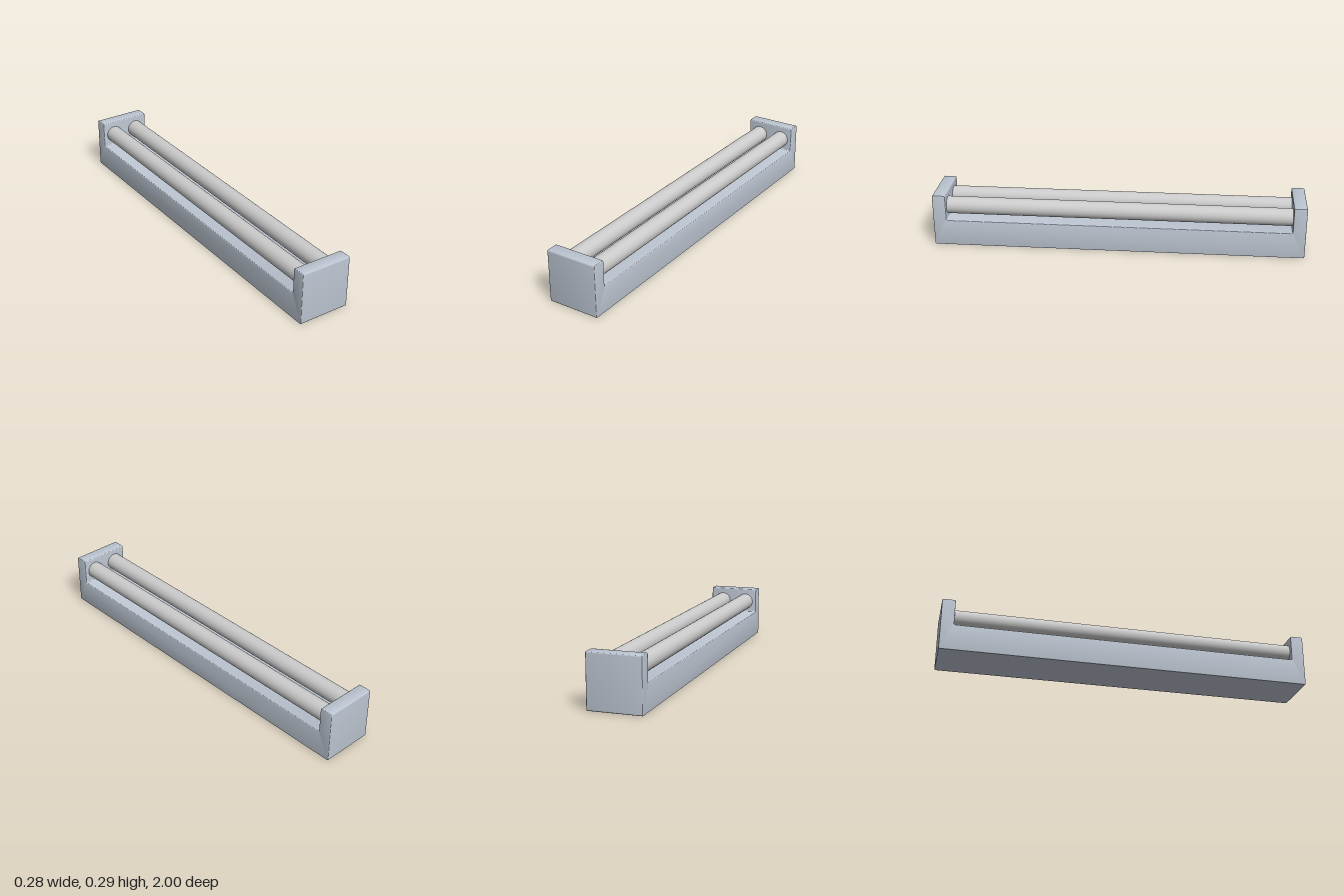
import * as THREE from 'three';
import { toCreasedNormals } from 'three/addons/utils/BufferGeometryUtils.js';

const WIDTH = 0.284, HEIGHT = 0.286, BASE = 0.143, END = 0.07;
const BEVEL = 0.004, CORNER = 0.008;

// Closed outline with every corner slightly rounded
function roundedOutline(points, r) {
  const shape = new THREE.Shape();
  const pts = points.map(([x, y]) => new THREE.Vector2(x, y));
  pts.forEach((p, i) => {
    const prev = pts[(i + pts.length - 1) % pts.length];
    const next = pts[(i + 1) % pts.length];
    const a = p.clone().add(prev.clone().sub(p).setLength(r));
    const b = p.clone().add(next.clone().sub(p).setLength(r));
    if (i === 0) shape.moveTo(a.x, a.y);
    else shape.lineTo(a.x, a.y);
    shape.quadraticCurveTo(p.x, p.y, b.x, b.y);
  });
  shape.closePath();
  return shape;
}

export function createModel() {
  const model = new THREE.Group();
  model.name = 'twinTubeLightFixture';
  const housingMaterial = new THREE.MeshStandardMaterial({ color: 0xbcc5d1 });
  const tubeMaterial = new THREE.MeshStandardMaterial({ color: 0xcccccc });

  // Housing: long base with a raised block at each end, side profile swept across x
  const inner = 1 - END;
  const profile = roundedOutline([
    [-1, 0], [1, 0], [1, HEIGHT], [inner, HEIGHT],
    [inner, BASE], [-inner, BASE], [-inner, HEIGHT], [-1, HEIGHT],
  ], CORNER);
  const depth = WIDTH - 2 * BEVEL;
  const body = new THREE.ExtrudeGeometry(profile, {
    depth, curveSegments: 5, bevelEnabled: true, bevelSegments: 3,
    bevelSize: BEVEL, bevelThickness: BEVEL, bevelOffset: -BEVEL,
  });
  body.translate(0, 0, -depth / 2).rotateY(-Math.PI / 2);
  const housing = new THREE.Mesh(toCreasedNormals(body, 0.6), housingMaterial);
  housing.name = 'housing';
  model.add(housing);

  // Two parallel tubes held between the end blocks
  const tubeGeometry = new THREE.CylinderGeometry(0.047, 0.047, 2 * inner + 0.01, 48);
  tubeGeometry.rotateX(Math.PI / 2);
  for (const side of [-1, 1]) {
    const tube = new THREE.Mesh(tubeGeometry, tubeMaterial);
    tube.name = side > 0 ? 'leftTube' : 'rightTube';
    tube.position.set(side * 0.072, 0.208, 0);
    model.add(tube);
  }
  return model;
}
